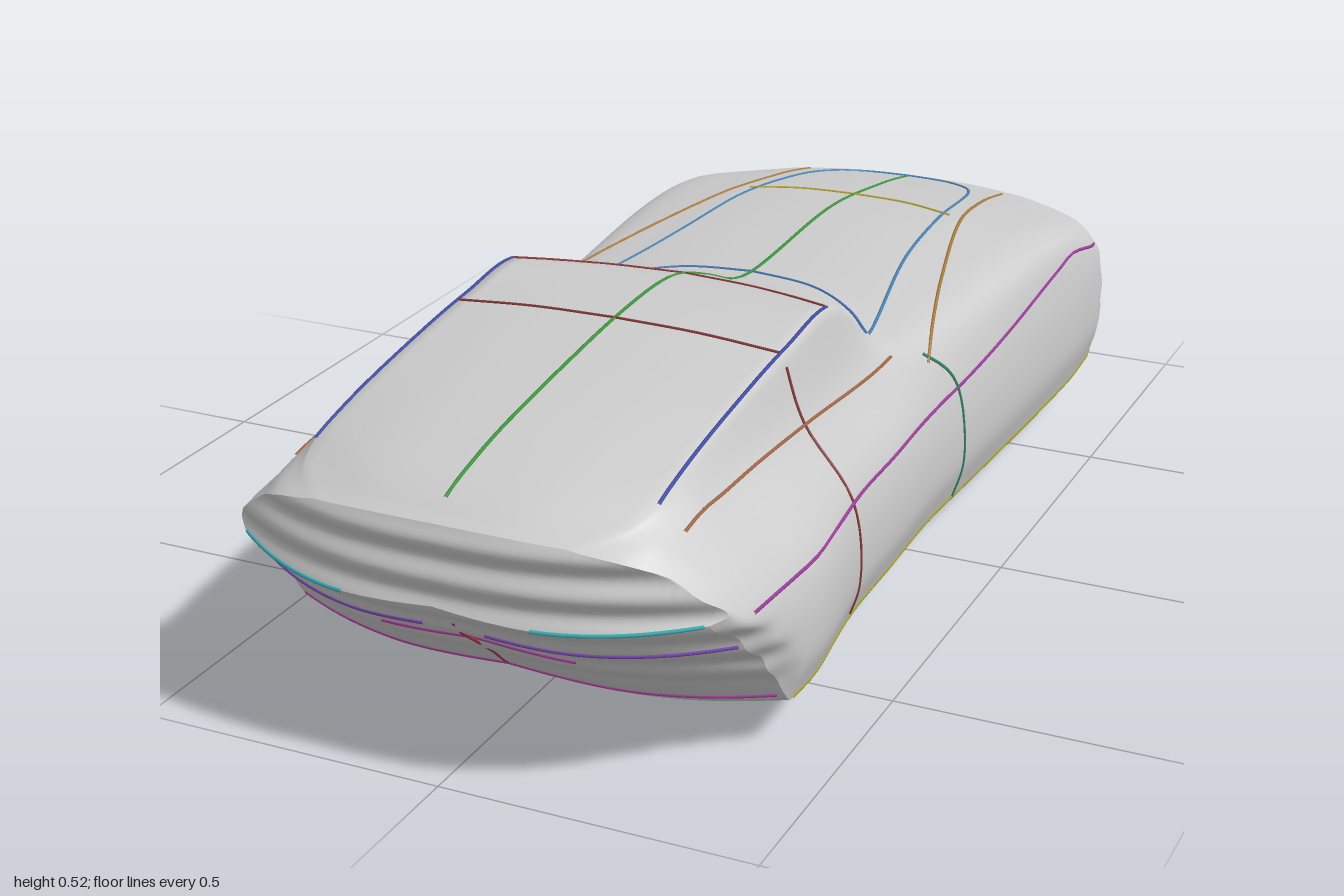
import * as THREE from 'three';
import { mergeVertices } from 'three/addons/utils/BufferGeometryUtils.js';

// Stations from nose to tail:
// z, belly y, half width, shoulder y, belt x, belt y, roof edge x, roof edge y, centre top y
const STATIONS = [
  [-1.0, 0.085, 0.395, 0.24, 0.36, 0.265, 0.20, 0.285, 0.29],
  [-0.98, 0.07, 0.405, 0.265, 0.36, 0.295, 0.22, 0.315, 0.322],
  [-0.93, 0.04, 0.415, 0.285, 0.365, 0.32, 0.23, 0.34, 0.345],
  [-0.86, 0.015, 0.42, 0.305, 0.375, 0.338, 0.24, 0.36, 0.367],
  [-0.7, 0.001, 0.425, 0.32, 0.385, 0.365, 0.24, 0.39, 0.397],
  [-0.45, 0.012, 0.42, 0.31, 0.375, 0.38, 0.22, 0.415, 0.427],
  [-0.1, 0.03, 0.405, 0.29, 0.345, 0.375, 0.22, 0.405, 0.418],
  [0.0, 0.035, 0.40, 0.285, 0.335, 0.375, 0.26, 0.40, 0.437],
  [0.08, 0.04, 0.40, 0.28, 0.32, 0.385, 0.285, 0.41, 0.472],
  [0.22, 0.045, 0.405, 0.28, 0.315, 0.39, 0.28, 0.508, 0.515],
  [0.4, 0.05, 0.41, 0.28, 0.315, 0.395, 0.28, 0.502, 0.515],
  [0.6, 0.035, 0.433, 0.28, 0.315, 0.40, 0.28, 0.478, 0.495],
  [0.74, 0.058, 0.433, 0.28, 0.315, 0.40, 0.28, 0.458, 0.477],
  [0.85, 0.14, 0.428, 0.285, 0.315, 0.40, 0.28, 0.437, 0.458],
  [0.95, 0.225, 0.415, 0.30, 0.305, 0.39, 0.26, 0.415, 0.43],
  [1.0, 0.275, 0.395, 0.315, 0.295, 0.378, 0.20, 0.402, 0.41],
];

// Smooth interpolation of one station column at z
function column(c, z) {
  const last = STATIONS.length - 1;
  let i = 0;
  while (i < last - 1 && z > STATIONS[i + 1][0]) i++;
  const slope = (k) => {
    const a = STATIONS[Math.max(k - 1, 0)], b = STATIONS[Math.min(k + 1, last)];
    return (b[c] - a[c]) / (b[0] - a[0]);
  };
  const a = STATIONS[i], b = STATIONS[i + 1], h = b[0] - a[0], t = (z - a[0]) / h;
  const t2 = t * t, t3 = t2 * t;
  return a[c] * (2 * t3 - 3 * t2 + 1) + b[c] * (3 * t2 - 2 * t3)
    + h * (slope(i) * (t3 - 2 * t2 + t) + slope(i + 1) * (t3 - t2));
}

// Half cross-sections on +x: sill up to roof centre, and belly centre out to sill
function section(z) {
  const [belly, w, ys, xb, yb, xr, yr, yt] = [1, 2, 3, 4, 5, 6, 7, 8].map((c) => column(c, z));
  const sill = Math.max(0.077, belly + 0.01);
  const spline = (pts, n) => new THREE.CatmullRomCurve3(
    pts.map(([x, y]) => new THREE.Vector3(x, y, z))).getPoints(n);
  const flank = spline([
    [w * 0.95, sill], [w, sill + (ys - sill) * 0.35], [w * 0.965, ys], [xb, yb], [xr, yr],
  ], 24);
  const roof = spline([[xr, yr], [xr * 0.5, yr + (yt - yr) * 0.78], [0, yt]], 12);
  const mid = Math.max(0.045, belly + 0.01);
  const lower = spline([
    [0, mid], [w * 0.2, belly + (mid - belly) * 0.45], [w * 0.43, belly],
    [w * 0.7, belly + (sill - belly) * 0.28], [w * 0.95, sill],
  ], 16);
  return { upper: [...flank, ...roof.slice(1)], lower };
}

const flip = (p) => new THREE.Vector3(-p.x, p.y, p.z);
const mirrored = (half) => [...half, ...half.slice(0, -1).reverse().map(flip)];

// Bow the ends in plan, tuck in the chin, and ridge the bumper areas
function shape(p) {
  const { smoothstep } = THREE.MathUtils;
  const side = Math.sign(p.z), reach = Math.abs(p.z);
  const bow = 0.13 * smoothstep(reach, 0.5, 1) * Math.abs(p.x / 0.41) ** 2.5;
  const end = side > 0 ? smoothstep(reach, 0.78, 0.9) : smoothstep(reach, 0.9, 1);
  const chin = side < 0 ? 0.025 * (1 - smoothstep(p.y, 0.08, 0.26)) : 0;
  const ridge = 0.006 * (1 + Math.sin(p.y * 110));
  return new THREE.Vector3(p.x, p.y, p.z - side * (bow + end * (chin + ridge)));
}

// Skin over a list of equal-length rings
function skin(rings) {
  const n = rings[0].length, index = [];
  for (let i = 0; i < rings.length - 1; i++) {
    for (let j = 0; j < n - 1; j++) {
      const a = i * n + j, b = a + 1, c = a + n, d = c + 1;
      index.push(a, b, c, b, d, c);
    }
  }
  const geometry = new THREE.BufferGeometry().setFromPoints(rings.flat());
  geometry.setIndex(index);
  const merged = mergeVertices(geometry, 1e-5);
  merged.computeVertexNormals();
  return merged;
}

// Point on a section where the coordinate first reaches the target
function walk(points, key, target) {
  for (let i = 1; i < points.length; i++) {
    const a = points[i - 1], b = points[i];
    if (b[key] >= target) {
      const t = THREE.MathUtils.clamp((target - a[key]) / (b[key] - a[key] || 1), 0, 1);
      return a.clone().lerp(b, t);
    }
  }
  return points[points.length - 1].clone();
}
const onTop = (x, z) => walk(section(z).upper.reverse(), 'x', x);
const onSide = (y, z) => walk(section(z).upper, 'y', y);
const onBelly = (x, z) => walk(section(z).lower, 'x', x);

// End panel: rows spanning from the top edge down to the floor edge
function endPanel(z) {
  const { upper, lower } = section(z);
  const base = upper.map((p) => walk(lower, 'x', p.x));
  const rows = [];
  for (let i = 0; i <= 24; i++) {
    rows.push(mirrored(upper.map((p, j) => p.clone().lerp(base[j], i / 24))).map(shape));
  }
  return skin(z > 0 ? rows : rows.reverse());
}

export function createModel() {
  const model = new THREE.Group();
  const grey = new THREE.MeshStandardMaterial({ color: 0xcccccc });
  const add = (name, geometry, material = grey) => {
    const mesh = new THREE.Mesh(geometry, material);
    mesh.name = name;
    model.add(mesh);
  };

  // Body shell and floor, meeting at a sharp sill
  const upperRings = [], lowerRings = [];
  for (let i = 0; i <= 150; i++) {
    const u = i / 75 - 1;
    const z = 0.65 * u + 0.35 * Math.sin(u * Math.PI / 2);
    const { upper, lower } = section(z);
    upperRings.push(mirrored(upper).map(shape));
    lowerRings.push(mirrored(lower.reverse()).reverse().map(shape));
  }
  add('bodyShell', skin(upperRings));
  add('floor', skin(lowerRings));
  add('nosePanel', endPanel(-1));
  add('tailPanel', endPanel(1));

  // Coloured seam lines lying on the surface, mirrored to both sides
  const seam = (name, color, pick, path, both = true) => {
    const guide = new THREE.SplineCurve(path.map(([a, z]) => new THREE.Vector2(a, z)));
    const points = guide.getPoints(32).map((g) => shape(pick(Math.max(g.x, 0), g.y)));
    const material = new THREE.MeshStandardMaterial({ color });
    for (const side of both ? [1, -1] : [1]) {
      const curve = new THREE.CatmullRomCurve3(side > 0 ? points : points.map(flip));
      add(name, new THREE.TubeGeometry(curve, 48, 0.003, 5), material);
    }
  };
  seam('centreSeam', 0x3f9a3f, onTop, [[0, -0.85], [0, -0.3], [0, 0.3], [0, 0.95]], false);
  seam('hoodSeam', 0x4a86b8, onTop, [[0.28, 0.07], [0.215, -0.25], [0.19, -0.5], [0.16, -0.76], [0.1, -0.84], [0, -0.855]]);
  seam('fenderSeam', 0xb08040, onTop, [[0.2, -0.85], [0.22, -0.56], [0.29, -0.25], [0.36, 0.0]]);
  seam('hoodCrossSeam', 0xb5a53a, onTop, [[0, -0.57], [0.1, -0.565], [0.2, -0.54]]);
  seam('windscreenBase', 0x4a78b8, onTop, [[0, -0.1], [0.12, -0.08], [0.21, -0.02], [0.28, 0.07]]);
  seam('windscreenTop', 0x8a3a3a, onTop, [[0, 0.17], [0.14, 0.19], [0.275, 0.24]]);
  seam('roofCrossSeam', 0x8a3a3a, onTop, [[0, 0.42], [0.14, 0.42], [0.275, 0.42]]);
  seam('roofRail', 0x4350a8, onTop, [[0.277, 0.24], [0.277, 0.5], [0.277, 0.89]]);
  seam('beltSeam', 0xa86a4a, onTop, [[0.325, 0.08], [0.318, 0.4], [0.315, 0.9]]);
  seam('flankSeam', 0xa040a0, onSide, [[0.28, 0.95], [0.28, 0.0], [0.33, -0.55], [0.335, -0.7], [0.3, -0.92]]);
  seam('sillSeam', 0xa8a03c, onSide, [[0.08, 0.75], [0.08, 0.0], [0.08, -0.95]]);
  seam('doorFrontSeam', 0x3a8a6a, onSide, [[0.08, -0.07], [0.2, -0.07], [0.3, -0.06], [0.36, 0.0]]);
  seam('doorRearSeam', 0x8a3a3a, onSide, [[0.09, 0.42], [0.25, 0.42], [0.38, 0.42], [0.48, 0.42]]);
  seam('floorCentreSeam', 0x9a3a4a, onBelly, [[0, -0.86], [0, 0], [0, 0.95]], false);
  seam('floorFrontSeam', 0x3a8a6a, onBelly, [[0, -0.07], [0.2, -0.07], [0.37, -0.07]]);
  seam('floorRearSeam', 0x8a3a3a, onBelly, [[0, 0.42], [0.2, 0.42], [0.38, 0.42]]);

  // Tail bumper seams
  seam('tailEdgeSeam', 0x3ab0b8, onBelly, [[0.15, 1], [0.25, 1], [0.37, 1]]);
  seam('tailUpperSeam', 0x7a4ab0, onBelly, [[0.05, 0.94], [0.2, 0.94], [0.39, 0.94]]);
  seam('tailMiddleSeam', 0xb040a0, onBelly, [[0, 0.89], [0.08, 0.89], [0.16, 0.89]]);
  seam('tailLowerSeam', 0xb040a0, onBelly, [[0, 0.785], [0.2, 0.785], [0.4, 0.785]]);
  return model;
}
